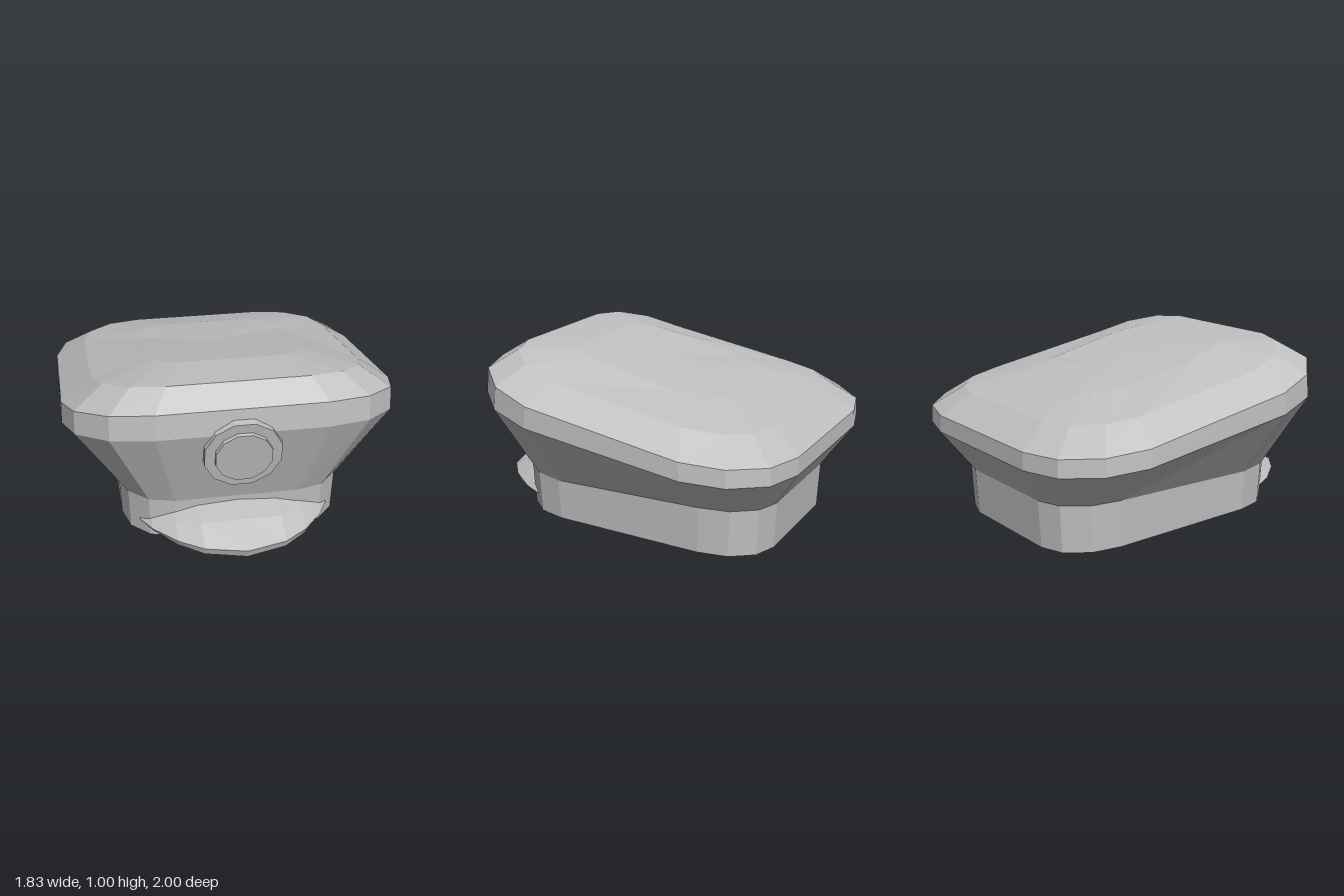
import * as THREE from 'three';

const grey = new THREE.MeshStandardMaterial({ color: 0xc0c0c0 });
grey.name = 'cap grey';

// Skin a stack of closed rings and cap both ends, with one flat normal per face
function loft(rings, name) {
  const pos = [];
  const tri = (a, b, c) => pos.push(...a, ...b, ...c);
  const centre = (r) => [0, 1, 2].map((k) => r.reduce((s, p) => s + p[k], 0) / r.length);
  const n = rings[0].length;
  for (let i = 0; i < rings.length - 1; i++) {
    for (let j = 0; j < n; j++) {
      const k = (j + 1) % n;
      const [a, b, c, d] = [rings[i][j], rings[i][k], rings[i + 1][k], rings[i + 1][j]];
      tri(a, b, c);
      tri(a, c, d);
    }
  }
  const first = rings[0], last = rings[rings.length - 1];
  const c0 = centre(first), c1 = centre(last);
  for (let j = 0; j < n; j++) {
    const k = (j + 1) % n;
    tri(c0, first[k], first[j]);
    tri(c1, last[j], last[k]);
  }
  const geo = new THREE.BufferGeometry();
  geo.setAttribute('position', new THREE.Float32BufferAttribute(pos, 3));
  geo.computeVertexNormals();
  const mesh = new THREE.Mesh(geo, grey);
  mesh.name = name;
  return mesh;
}

// Rounded rectangle of 16 points; heights are given at the front edge,
// the two ends of the straight sides and the back edge
function ring({ w, front, back, rx, rf, rb, y }) {
  const zs = [front, front - rf, back + rb, back];
  const height = (z) => {
    const i = z >= zs[1] ? 0 : z >= zs[2] ? 1 : 2;
    return THREE.MathUtils.mapLinear(z, zs[i], zs[i + 1], y[i], y[i + 1]);
  };
  const pts = [];
  for (let q = 0; q < 4; q++) {
    for (let s = 0; s < 4; s++) {
      const a = (q * 90 + s * 30) * Math.PI / 180;
      const sx = q === 0 || q === 3 ? 1 : -1;
      const x = sx * (w - rx) + rx * Math.cos(a);
      const z = q < 2 ? back + rb - rb * Math.sin(a) : front - rf - rf * Math.sin(a);
      pts.push([x, height(z), z]);
    }
  }
  return pts;
}

export function createModel() {
  const group = new THREE.Group();
  group.name = 'peakedCap';

  const bandBottom = ring({ w: 0.61, front: 0.66, back: -0.83, rx: 0.27, rf: 0.3, rb: 0.33, y: [0.05, 0.04, 0.012, 0] });
  const bandTop = ring({ w: 0.62, front: 0.675, back: -0.845, rx: 0.28, rf: 0.31, rb: 0.34, y: [0.29, 0.272, 0.275, 0.265] });

  // Head band
  group.add(loft([bandBottom, bandTop], 'headBand'));

  // Flared crown, rim and domed top
  group.add(loft([
    bandTop,
    ring({ w: 0.915, front: 0.84, back: -1, rx: 0.46, rf: 0.46, rb: 0.46, y: [0.77, 0.665, 0.53, 0.49] }),
    ring({ w: 0.91, front: 0.83, back: -0.995, rx: 0.46, rf: 0.46, rb: 0.46, y: [0.91, 0.785, 0.63, 0.585] }),
    ring({ w: 0.74, front: 0.695, back: -0.83, rx: 0.36, rf: 0.38, rb: 0.36, y: [1, 0.89, 0.75, 0.705] }),
    ring({ w: 0.42, front: 0.4, back: -0.515, rx: 0.14, rf: 0.24, rb: 0.235, y: [0.985, 0.93, 0.83, 0.8] }),
  ], 'crown'));

  // Visor: sections from the middle outwards, each [y, z] from the wall over the rim and back
  const half = [
    [0, [0.265, 0.66], [0.23, 0.82], [0.15, 1], [0.105, 0.985], [0.105, 0.6]],
    [0.22, [0.25, 0.655], [0.215, 0.8], [0.147, 0.94], [0.105, 0.925], [0.105, 0.6]],
    [0.35, [0.22, 0.64], [0.19, 0.74], [0.142, 0.84], [0.105, 0.82], [0.105, 0.58]],
    [0.47, [0.17, 0.6], [0.157, 0.64], [0.132, 0.69], [0.11, 0.665], [0.11, 0.55]],
    [0.53, [0.128, 0.56], [0.128, 0.565], [0.125, 0.57], [0.122, 0.565], [0.122, 0.56]],
  ];
  const section = (s, side) => s.slice(1).map(([y, z]) => [side * s[0], y, z]);
  group.add(loft([
    ...half.slice(1).reverse().map((s) => section(s, -1)),
    ...half.map((s) => section(s, 1)),
  ], 'visor'));

  // Round badge of two stacked twelve-sided discs
  const badge = new THREE.Group();
  badge.name = 'badge';
  const disc = (name, radius, depth, front) => {
    const geo = new THREE.CylinderGeometry(radius, radius, depth, 12)
      .rotateY(Math.PI / 12).rotateX(Math.PI / 2).translate(0, 0, front - depth / 2).toNonIndexed();
    geo.computeVertexNormals();
    const mesh = new THREE.Mesh(geo, grey);
    mesh.name = name;
    badge.add(mesh);
  };
  disc('badgePlate', 0.211, 0.045, 0);
  disc('badgeCentre', 0.154, 0.05, 0.023);
  badge.position.set(0, 0.642, 0.838);
  badge.rotation.x = 0.19;
  group.add(badge);

  return group;
}
